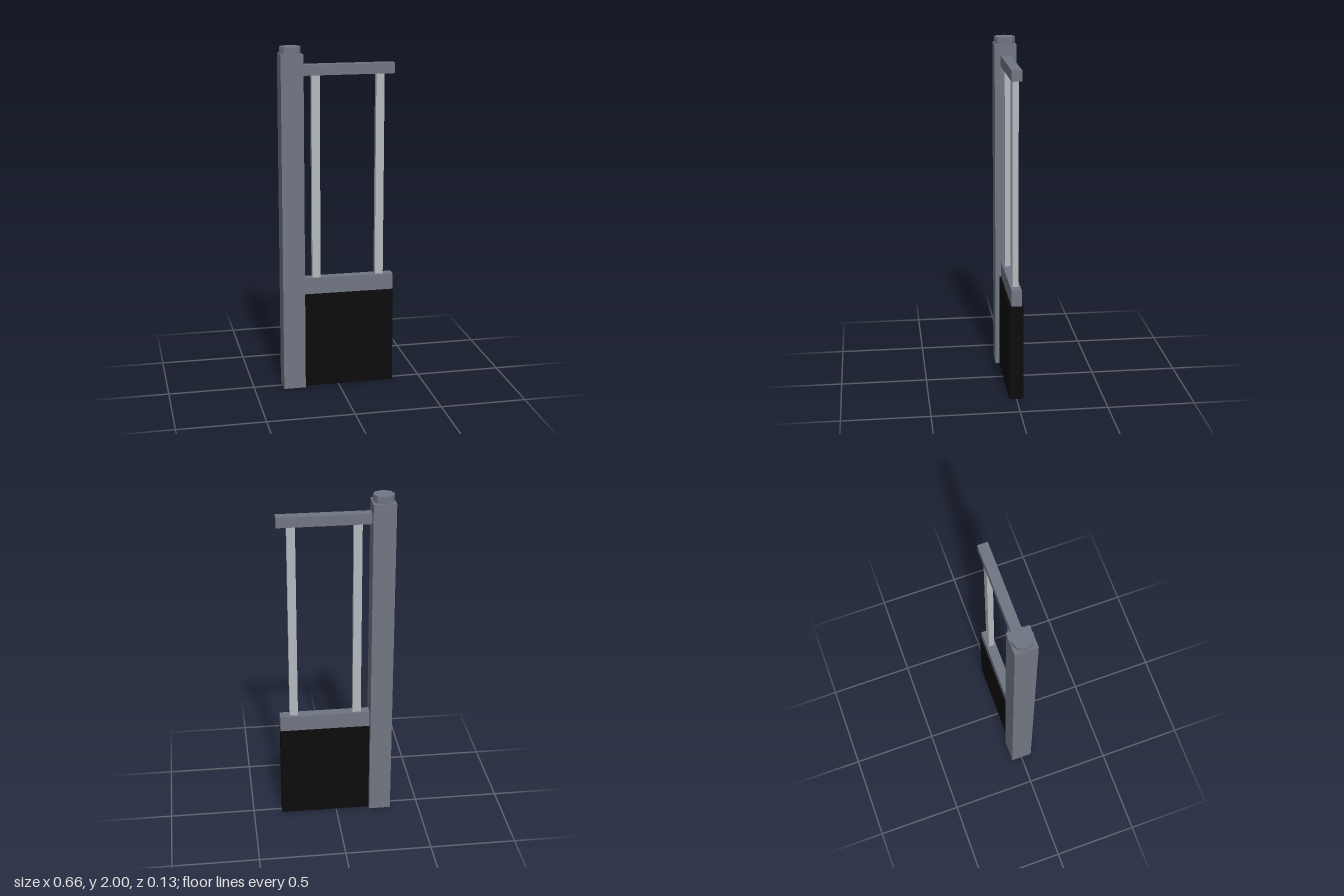
import * as THREE from 'three';

const mat = (name, color) => {
  const m = new THREE.MeshStandardMaterial({ color });
  m.name = name;
  return m;
};

export function createModel() {
  const group = new THREE.Group();
  const steel = mat('slate grey', 0x707682);
  const light = mat('light grey', 0xb3b9be);
  const black = mat('black', 0x0c0c0c);

  // Box given by its x and y limits and its depth, centred on z = 0
  const box = (name, material, x0, x1, y0, y1, depth) => {
    const mesh = new THREE.Mesh(new THREE.BoxGeometry(x1 - x0, y1 - y0, depth), material);
    mesh.position.set((x0 + x1) / 2, (y0 + y1) / 2, 0);
    mesh.name = name;
    group.add(mesh);
  };

  // Square post with an octagonal cap
  box('post', steel, -0.329, -0.201, 0, 1.96, 0.127);
  const cap = new THREE.Mesh(new THREE.CylinderGeometry(0.061, 0.061, 0.04, 8), steel.clone());
  cap.material = steel;
  cap.geometry = cap.geometry.toNonIndexed();
  cap.geometry.computeVertexNormals(); // flat facets
  cap.position.set(-0.266, 1.98, 0);
  cap.name = 'postCap';
  group.add(cap);

  // Gate leaf: solid lower panel and two rails
  box('lowerPanel', black, -0.199, 0.328, 0, 0.565, 0.08);
  box('middleRail', steel, -0.199, 0.328, 0.565, 0.66, 0.058);
  box('topRail', steel, -0.199, 0.328, 1.838, 1.898, 0.058);

  // Upright bars between the rails
  for (const x of [-0.125, 0.247]) box('uprightBar', light, x - 0.024, x + 0.024, 0.66, 1.838, 0.034);

  return group;
}
